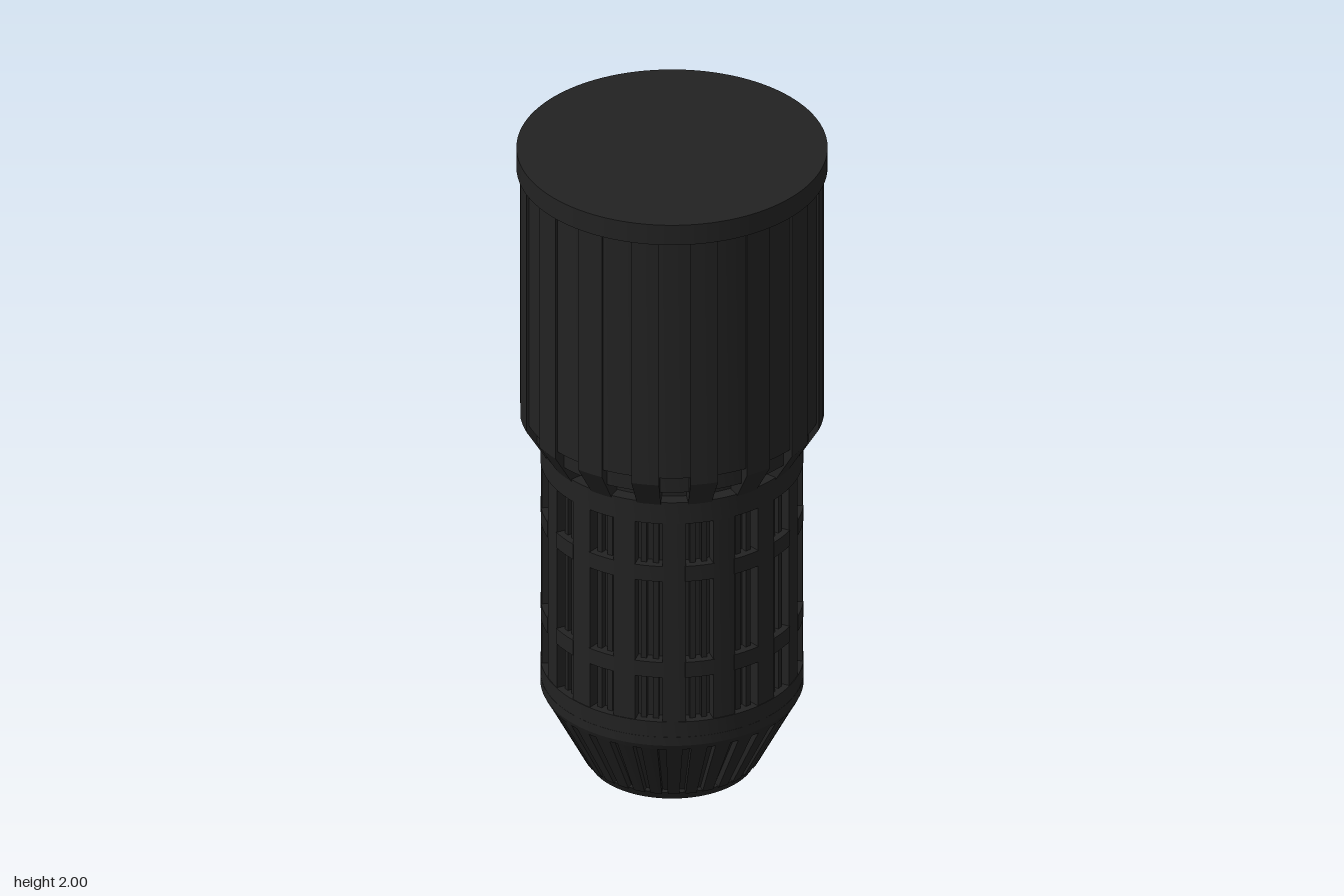
import * as THREE from 'three';
import { mergeGeometries, toCreasedNormals } from 'three/addons/utils/BufferGeometryUtils.js';

const RAD = Math.PI / 180;
const STEP = 22.5;

// Revolves a closed convex (radius, height) profile, listed counter-clockwise, through part of a turn.
function sector(profile, midDeg = 0, widthDeg = 360, segments = 4) {
  const full = widthDeg >= 360;
  const a0 = (midDeg - widthDeg / 2) * RAD;
  const a1 = a0 + widthDeg * RAD;
  const pts = [...profile, profile[0]].map(([r, y]) => new THREE.Vector2(r, y));
  const lathe = new THREE.LatheGeometry(pts, full ? 96 : segments, full ? 0 : a0, widthDeg * RAD).toNonIndexed();
  const pos = Array.from(lathe.attributes.position.array);
  if (!full) {
    // End faces of the sector
    const add = ([r, y], a) => pos.push(r * Math.sin(a), y, r * Math.cos(a));
    for (let i = 1; i < profile.length - 1; i++) {
      [profile[0], profile[i], profile[i + 1]].forEach(p => add(p, a0));
      [profile[0], profile[i + 1], profile[i]].forEach(p => add(p, a1));
    }
  }
  const geo = new THREE.BufferGeometry();
  geo.setAttribute('position', new THREE.Float32BufferAttribute(pos, 3));
  return toCreasedNormals(geo, 0.35);
}

const band = (r0, r1, y0, y1) => [[r0, y0], [r1, y0], [r1, y1], [r0, y1]];

// Repeats one sector evenly around the axis.
function around(count, profile, widthDeg, offsetDeg = 0, segments = 3) {
  const parts = [];
  for (let i = 0; i < count; i++) {
    parts.push(sector(profile, offsetDeg + i * 360 / count, widthDeg, segments));
  }
  return mergeGeometries(parts);
}

export function createModel() {
  const model = new THREE.Group();
  model.name = 'slottedCylinder';
  const black = new THREE.MeshStandardMaterial({ color: 0x222222 });
  black.name = 'matteBlack';

  const add = (name, geometry) => {
    const mesh = new THREE.Mesh(geometry, black);
    mesh.name = name;
    model.add(mesh);
  };

  // Top cap
  const cap = new THREE.CylinderGeometry(0.442, 0.442, 0.065, 128);
  cap.translate(0, 1.9675, 0);
  add('cap', cap);

  // Wide upper barrel with raised planks
  add('barrelCore', sector(band(0.33, 0.426, 1.16, 1.94)));
  add('barrelPlanks', around(16, band(0.415, 0.433, 1.14, 1.94), 10.6));
  const ceiling = new THREE.CylinderGeometry(0.335, 0.335, 0.04, 64);
  ceiling.translate(0, 1.2, 0);
  add('innerCeiling', ceiling);

  // Flared shoulder: open gaps between ribs, with a hoop behind them
  add('shoulderRibs', around(16, [[0.34, 1.04], [0.372, 1.04], [0.433, 1.14], [0.415, 1.165], [0.34, 1.165]], 10.6));
  add('shoulderHoop', sector(band(0.37, 0.402, 1.1, 1.165)));

  // Slotted lower body
  add('upperRing', sector(band(0.335, 0.374, 0.98, 1.05)));
  add('bodyPosts', around(16, band(0.335, 0.372, 0.32, 0.985), 10.2, STEP / 2));
  add('lowerRing', sector([[0.32, 0.25], [0.373, 0.25], [0.374, 0.33], [0.32, 0.33]]));
  add('innerSleeve', sector(band(0.315, 0.336, 0.26, 1.17)));

  // Battens and bridges inside each slot
  for (const side of [-1, 1]) {
    add('slotBattens', around(16, band(0.33, 0.354, 0.33, 0.98), 2.6, side * 2.8, 1));
  }
  for (const y of [0.5, 0.815]) {
    add('slotBridges', around(16, band(0.33, 0.374, y - 0.025, y + 0.025), 13));
  }

  // Tapered lower end with narrow slits
  add('taperCore', sector([[0.215, 0.02], [0.232, 0.02], [0.357, 0.26], [0.32, 0.26]]));
  add('taperRibs', around(32, [[0.225, 0.025], [0.255, 0.025], [0.373, 0.25], [0.34, 0.25]], 7.4, 0, 2));
  add('taperRim', sector([[0.35, 0.235], [0.366, 0.235], [0.374, 0.252], [0.374, 0.28], [0.35, 0.28]]));
  add('bottomCollar', sector([[0.205, 0], [0.237, 0], [0.255, 0.03], [0.205, 0.03]]));

  // Ribs and hoops lining the hollow inside
  add('innerRibs', around(16, band(0.295, 0.32, 0.24, 1.18), 8, STEP / 2, 2));
  for (const y of [0.28, 0.5, 0.815]) add('innerHoop', sector(band(0.285, 0.32, y - 0.025, y + 0.025)));

  return model;
}
